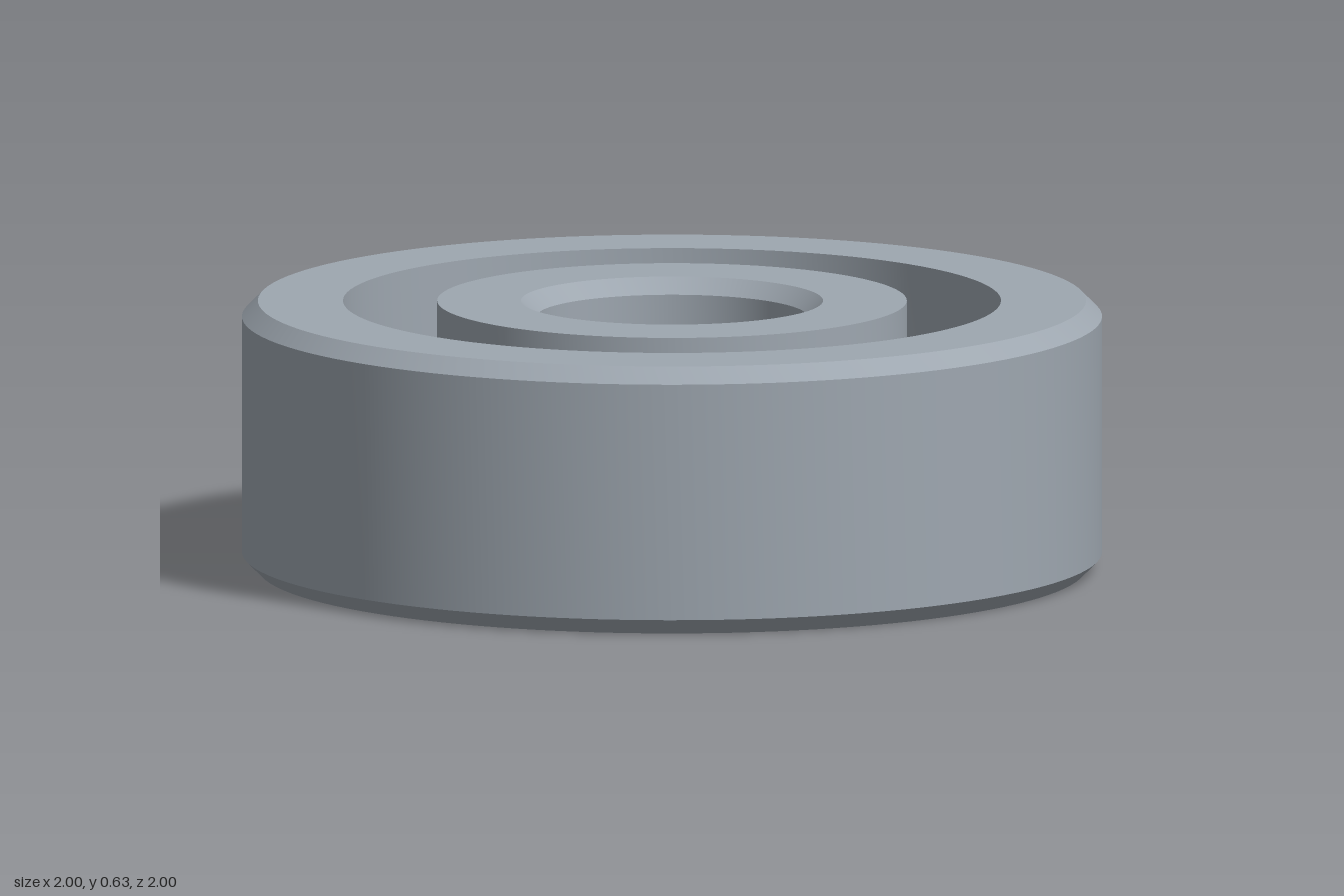
import * as THREE from 'three';
import { toCreasedNormals } from 'three/addons/utils/BufferGeometryUtils.js';

const HEIGHT = 0.6286, MID = HEIGHT / 2;
const BORE = 0.3143, INNER_EDGE = 0.546, OUTER_EDGE = 0.765, RIM = 1;
const CHAMFER = 0.037;
const PITCH = (INNER_EDGE + OUTER_EDGE) / 2; // radius of the ball circle
const BALL = 0.173;
const BALL_COUNT = 8;

// Arc of the ball groove, centred on the ball circle, from angle a to angle b
function groove(a, b, steps = 16) {
  return Array.from({ length: steps + 1 }, (_, i) => {
    const t = a + ((b - a) * i) / steps;
    return [PITCH + BALL * Math.cos(t), MID + BALL * Math.sin(t)];
  });
}

// Closed profile, counter-clockwise in (radius, height), revolved with crisp edges
function ring(name, profile, material) {
  const points = [...profile, profile[0]].map(([r, y]) => new THREE.Vector2(r, y));
  const mesh = new THREE.Mesh(toCreasedNormals(new THREE.LatheGeometry(points, 120), 0.5), material);
  mesh.name = name;
  return mesh;
}

export function createModel() {
  const model = new THREE.Group();
  model.name = 'ballBearing';
  const steel = new THREE.MeshStandardMaterial({ color: 0x9ea7b0 });
  steel.name = 'steel';

  // Half-angle at which the groove meets the ring walls
  const a = Math.acos((OUTER_EDGE - PITCH) / BALL);

  // Outer ring: chamfered rim outside, groove inside
  model.add(ring('outerRing', [
    [OUTER_EDGE, 0], [RIM - CHAMFER, 0], [RIM, CHAMFER],
    [RIM, HEIGHT - CHAMFER], [RIM - CHAMFER, HEIGHT], [OUTER_EDGE, HEIGHT],
    ...groove(a, -a),
  ], steel));

  // Inner ring: chamfered bore inside, groove outside
  model.add(ring('innerRing', [
    [BORE + CHAMFER, 0], [INNER_EDGE, 0],
    ...groove(Math.PI + a, Math.PI - a),
    [INNER_EDGE, HEIGHT], [BORE + CHAMFER, HEIGHT],
    [BORE, HEIGHT - CHAMFER], [BORE, CHAMFER],
  ], steel));

  // Balls, evenly spaced in the groove
  const balls = new THREE.Group();
  balls.name = 'balls';
  const ballGeometry = new THREE.SphereGeometry(BALL, 40, 24);
  for (let i = 0; i < BALL_COUNT; i++) {
    const t = THREE.MathUtils.degToRad(12) + (i * 2 * Math.PI) / BALL_COUNT;
    const ball = new THREE.Mesh(ballGeometry, steel);
    ball.name = `ball${i + 1}`;
    ball.position.set(PITCH * Math.sin(t), MID, -PITCH * Math.cos(t));
    balls.add(ball);
  }
  model.add(balls);
  return model;
}
